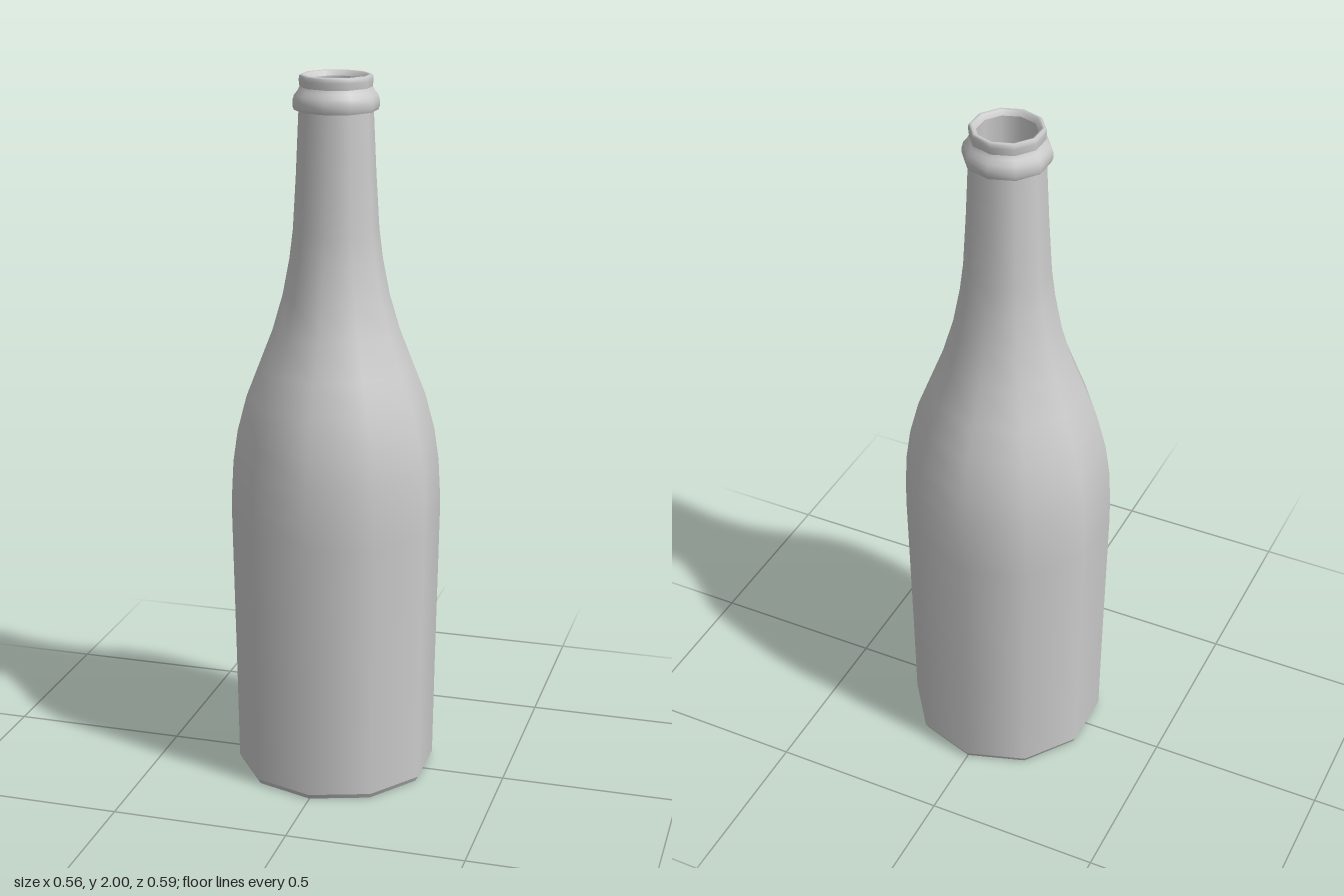
import * as THREE from 'three';

const SIDES = 10;

// Ten-sided turned part from [radius, height] pairs
function turned(name, profile) {
  const points = profile.map(([r, y]) => new THREE.Vector2(r, y));
  const material = new THREE.MeshStandardMaterial({ color: 0xcccccc, side: THREE.DoubleSide });
  const mesh = new THREE.Mesh(new THREE.LatheGeometry(points, SIDES), material);
  mesh.name = name;
  return mesh;
}

export function createModel() {
  const bottle = new THREE.Group();
  bottle.name = 'bottle';

  // Flat underside and its small bevel
  bottle.add(turned('base', [[0, 0], [0.275, 0]]));
  bottle.add(turned('baseBevel', [[0.275, 0], [0.283, 0.015]]));

  // Slightly flared body, rounded shoulder and tapering neck
  bottle.add(turned('body', [
    [0.283, 0.015], [0.287, 0.3], [0.295, 0.75], [0.294, 0.83], [0.289, 0.92],
    [0.276, 1.01], [0.25, 1.11], [0.215, 1.2], [0.176, 1.3], [0.147, 1.4],
    [0.128, 1.5], [0.118, 1.58], [0.109, 1.73], [0.101, 1.905],
  ]));

  // Raised collar with a flat underside
  bottle.add(turned('collarUnderside', [[0.1, 1.905], [0.113, 1.905]]));
  bottle.add(turned('collar', [
    [0.113, 1.905], [0.117, 1.915], [0.117, 1.93], [0.113, 1.945], [0.103, 1.957], [0.098, 1.967],
  ]));

  // Lip rolling over into the mouth
  bottle.add(turned('lip', [
    [0.098, 1.967], [0.1, 1.985], [0.099, 1.996], [0.094, 2], [0.087, 1.998], [0.08, 1.985],
  ]));

  // Hollow inside and its floor
  bottle.add(turned('innerWall', [
    [0.08, 1.985], [0.084, 1.9], [0.1, 1.58], [0.129, 1.4], [0.197, 1.2],
    [0.258, 1.01], [0.277, 0.8], [0.265, 0.04],
  ]));
  bottle.add(turned('innerFloor', [[0.265, 0.04], [0, 0.04]]));

  return bottle;
}
